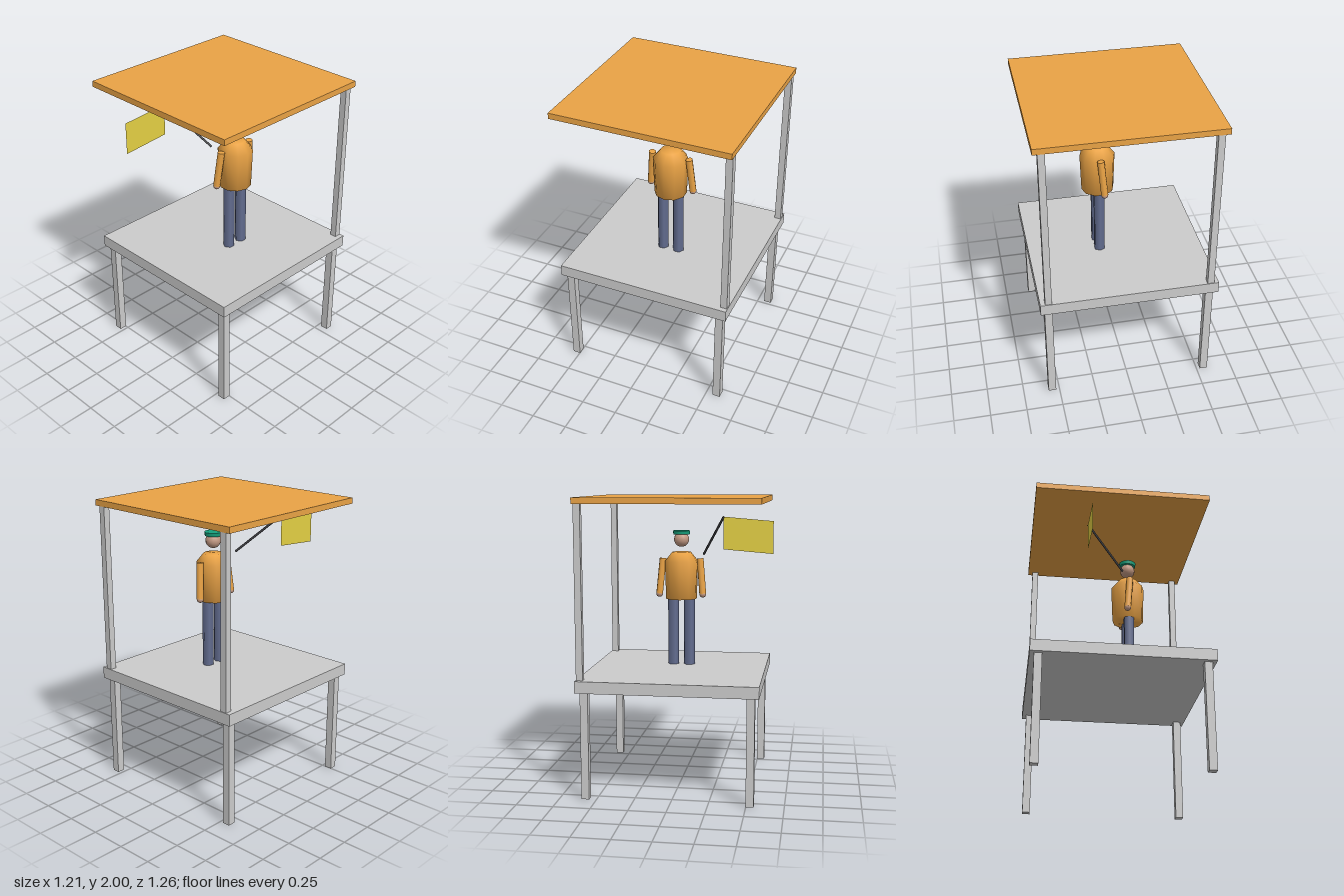
import * as THREE from 'three';

export function createModel() {
  const model = new THREE.Group();
  model.name = 'lookoutStand';
  const mat = (color, extra = {}) => new THREE.MeshStandardMaterial({ color, ...extra });
  const grey = mat(0xcccccc), orange = mat(0xeaa345), skin = mat(0xc49a84);
  const denim = mat(0x636d90), teal = mat(0x16a07c), dark = mat(0x444448);
  const yellow = mat(0xe4d044, { side: THREE.DoubleSide });

  const add = (name, geometry, material, x = 0, y = 0, z = 0) => {
    const mesh = new THREE.Mesh(geometry, material);
    mesh.name = name;
    mesh.position.set(x, y, z);
    model.add(mesh);
    return mesh;
  };
  // Rod from a to b
  const rod = (name, a, b, r, sides, material) => {
    const dir = b.clone().sub(a);
    const mesh = add(name, new THREE.CylinderGeometry(r, r, dir.length(), sides), material);
    mesh.position.copy(a).add(b).multiplyScalar(0.5);
    mesh.quaternion.setFromUnitVectors(new THREE.Vector3(0, 1, 0), dir.normalize());
    return mesh;
  };
  const v = (x, y, z) => new THREE.Vector3(x, y, z);

  // Platform, roof and supports
  const cz = -0.025;
  add('platform', new THREE.BoxGeometry(1.21, 0.08, 1.21), grey, 0, 0.77, cz);
  add('roof', new THREE.BoxGeometry(1.21, 0.04, 1.21), orange, 0, 1.98, cz);
  for (const s of [-1, 1]) {
    for (const t of [-1, 1]) {
      add('platformLeg', new THREE.BoxGeometry(0.053, 0.73, 0.053), grey, s * 0.55, 0.365, cz + t * 0.55);
    }
    add('roofPost', new THREE.BoxGeometry(0.045, 1.15, 0.045), grey, s * 0.55, 1.385, -0.603);
  }

  // Standing figure
  const fx = 0.107;
  const profile = [[0, 1.28], [0.11, 1.28], [0.119, 1.545], [0.067, 1.61], [0, 1.61]];
  add('torso', new THREE.LatheGeometry(profile.map(([r, y]) => new THREE.Vector2(r, y)), 10, Math.PI / 2),
    orange, fx, 0, cz);
  add('head', new THREE.SphereGeometry(0.053, 16, 12), skin, fx, 1.698, cz);
  add('cap', new THREE.CylinderGeometry(0.061, 0.058, 0.026, 14), teal, fx, 1.746, cz);
  for (const s of [-1, 1]) {
    add('trouserLeg', new THREE.CylinderGeometry(0.039, 0.039, 0.48, 6), denim, fx, 1.05, cz + s * 0.057);
    const hand = v(0.086, 1.315, cz + s * 0.154);
    rod('arm', v(fx, 1.565, cz + s * 0.132), hand, 0.024, 8, orange);
    add('hand', new THREE.SphereGeometry(0.024, 10, 8), skin, hand.x, hand.y, hand.z);
  }

  // Flag on a slanted pole
  const tip = v(-0.22, 1.868, 0.305);
  rod('flagPole', v(0.05, 1.6, 0.14), tip, 0.008, 6, dark);
  const flag = new THREE.PlaneGeometry(0.33, 0.215);
  flag.rotateY(Math.PI / 2);
  const p = flag.attributes.position;
  // Lower the free edge
  for (let i = 0; i < p.count; i++) if (p.getZ(i) > 0) p.setY(i, p.getY(i) - 0.027);
  flag.computeVertexNormals();
  add('flag', flag, yellow, -0.22, 1.762, 0.47);

  return model;
}
